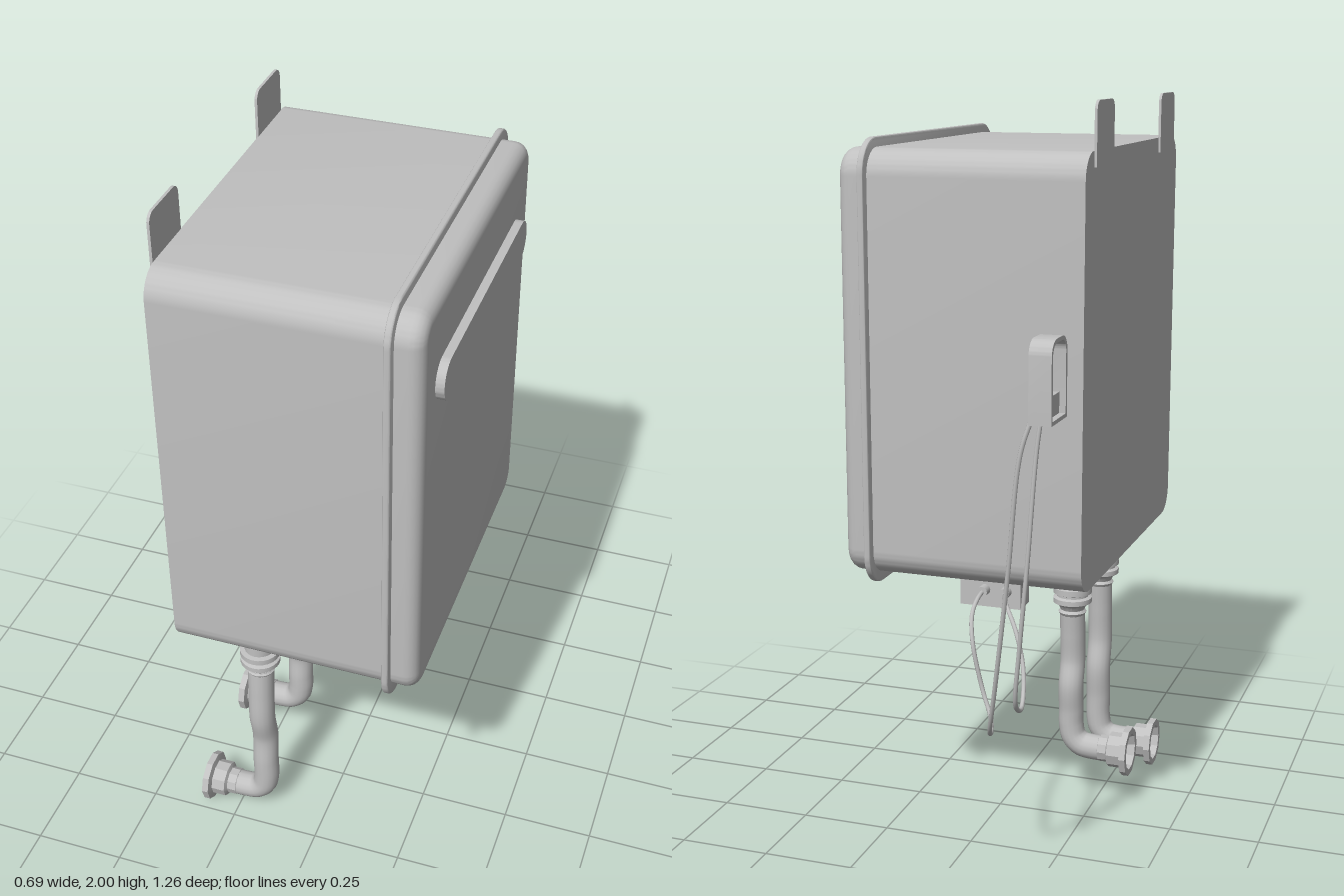
import * as THREE from 'three';
import { toCreasedNormals } from 'three/addons/utils/BufferGeometryUtils.js';

export function createModel() {
  const root = new THREE.Group();
  root.name = 'wallWaterHeater';
  const grey = new THREE.MeshStandardMaterial({ color: 0xc0c0c0, side: THREE.DoubleSide });
  grey.name = 'paintedGrey';

  const add = (name, geometry, parent = root) => {
    const mesh = new THREE.Mesh(geometry, grey);
    mesh.name = name;
    parent.add(mesh);
    return mesh;
  };
  const box = (name, x0, x1, y0, y1, z0, z1, parent) =>
    add(name, new THREE.BoxGeometry(x1 - x0, y1 - y0, z1 - z0), parent)
      .position.set((x0 + x1) / 2, (y0 + y1) / 2, (z0 + z1) / 2);

  // Rectangle in the z/y plane with separate top and bottom corner radii
  const outline = (z0, z1, y0, y1, top, bottom = top, Type = THREE.Shape) => {
    const a = -z1, b = -z0, h = Math.PI / 2;
    const s = new Type();
    s.moveTo(a + bottom, y0);
    s.lineTo(b - bottom, y0);
    if (bottom) s.absarc(b - bottom, y0 + bottom, bottom, -h, 0, false);
    s.lineTo(b, y1 - top);
    if (top) s.absarc(b - top, y1 - top, top, 0, h, false);
    s.lineTo(a + top, y1);
    if (top) s.absarc(a + top, y1 - top, top, h, 2 * h, false);
    s.lineTo(a, y0 + bottom);
    if (bottom) s.absarc(a + bottom, y0 + bottom, bottom, 2 * h, 3 * h, false);
    return s;
  };
  // Extrudes an outline along x, bevelled inwards on both ends if asked
  const extrudeX = (shape, x0, x1, bevel = 0) => {
    const g = new THREE.ExtrudeGeometry(shape, {
      depth: x1 - x0 - 2 * bevel, bevelEnabled: bevel > 0, bevelSize: bevel,
      bevelThickness: bevel, bevelOffset: -bevel, bevelSegments: 5, curveSegments: 8,
    });
    g.translate(0, 0, x0 + bevel);
    g.rotateY(Math.PI / 2);
    return toCreasedNormals(g, 0.7);
  };

  // Cabinet, rounded front cover and the seam rim between them
  add('cabinet', extrudeX(outline(-0.333, 0.605, 0.765, 1.88, 0.07), -0.33, 0.25));
  add('frontCover', extrudeX(outline(-0.333, 0.605, 0.765, 1.88, 0.07), 0.2, 0.323, 0.035));
  add('seamRim', extrudeX(outline(-0.358, 0.63, 0.737, 1.905, 0.09), 0.239, 0.256, 0.004));
  add('ventPlate', extrudeX(outline(-0.232, 0.507, 1.602, 1.71, 0.0535), 0.31, 0.345));

  // Hanging tabs
  for (const z of [-0.179, 0.467]) {
    add('wallTab', extrudeX(outline(z - 0.079, z + 0.079, 1.84, 2, 0.025, 0), -0.336, -0.329));
  }

  // Water pipes
  const lathe = (profile, sides = 24) => toCreasedNormals(
    new THREE.LatheGeometry(profile.map(([r, y]) => new THREE.Vector2(r, y)), sides).toNonIndexed(), 0.6);
  const pipeX = -0.17;
  const pipe = (z, y) => {
    const group = new THREE.Group();
    group.name = 'waterPipe';
    root.add(group);
    // straight stub and union nut
    add('pipeStub', lathe([[0.042, 0.77], [0.042, 0.64], [0.055, 0.638], [0.055, 0.622], [0.045, 0.618],
      [0.045, 0.612], [0.055, 0.608], [0.055, 0.594], [0.04, 0.585], [0.034, 0.572], [0.04, 0.565],
      [0.034, 0.555], [0, 0.555]])).position.set(pipeX, 0, z);
    // flexible hose, bending back to the wall
    const d = 0.57 - y;
    const points = [[0, 0.57, 0], [0, y + d * 0.82, 0.006], [0, y + d * 0.62, 0.009], [0, y + d * 0.45, -0.007],
      [0, y + d * 0.27, -0.001], [0, y + 0.065, 0], [-0.008, y + 0.028, 0], [-0.03, y + 0.006, 0],
      [-0.06, y, 0], [-0.14, y, 0]].map(([dx, py, dz]) => new THREE.Vector3(pipeX + dx, py, z + dz));
    add('flexibleHose', new THREE.TubeGeometry(new THREE.CatmullRomCurve3(points), 50, 0.036, 16), group);
    // wall flange, open at the back
    const flange = add('wallFlange', lathe([[0.03, 0.095], [0.038, 0.09], [0.038, 0.065], [0.05, 0.06],
      [0.05, 0.022], [0.07, 0.018], [0.07, 0], [0.052, 0], [0.044, 0.04], [0, 0.04]], 10), group);
    flange.rotation.z = -Math.PI / 2;
    flange.position.set(-0.348, y, z);
  };
  pipe(0.138, 0.158);
  pipe(0.43, 0.07);

  // Terminal block below the cabinet
  box('terminalBlock', -0.13, 0.04, 0.675, 0.77, -0.213, -0.142);
  box('terminalTongue', 0.04, 0.085, 0.745, 0.77, -0.213, -0.142);
  for (const x of [-0.03, -0.09]) {
    const plug = add('cablePlug', new THREE.CylinderGeometry(0.015, 0.015, 0.03, 12));
    plug.rotation.x = Math.PI / 2;
    plug.position.set(x, 0.722, -0.225);
  }

  // Two hanging cables
  const cable = (points) => add('cable', new THREE.TubeGeometry(
    new THREE.CatmullRomCurve3(points.map((p) => new THREE.Vector3(...p))), 70, 0.006, 8));
  cable([[-0.03, 0.722, -0.23], [-0.03, 0.715, -0.27], [-0.03, 0.685, -0.315], [-0.045, 0.62, -0.352],
    [-0.075, 0.49, -0.356], [-0.105, 0.43, -0.38], [-0.12, 0.413, -0.42], [-0.145, 0.45, -0.505],
    [-0.18, 0.6, -0.562], [-0.225, 0.9, -0.6], [-0.26, 1.2, -0.614], [-0.29, 1.3, -0.605]]);
  cable([[-0.09, 0.722, -0.23], [-0.11, 0.715, -0.28], [-0.155, 0.66, -0.33], [-0.185, 0.58, -0.36],
    [-0.2, 0.52, -0.4], [-0.21, 0.495, -0.45], [-0.215, 0.53, -0.51], [-0.235, 0.7, -0.538],
    [-0.255, 0.9, -0.545], [-0.275, 1.2, -0.532], [-0.29, 1.32, -0.523]]);

  // Remote controller: hollow frame with a front cover and a recessed cable bay
  const frame = outline(-0.632, -0.508, 1.275, 1.475, 0.04, 0);
  frame.holes.push(outline(-0.622, -0.518, 1.285, 1.465, 0.03, 0, THREE.Path));
  add('remoteFrame', extrudeX(frame, -0.341, -0.285));
  add('remoteCover', extrudeX(outline(-0.63, -0.51, 1.328, 1.473, 0.038, 0), -0.295, -0.286));
  box('remoteBackPlate', -0.325, -0.318, 1.28, 1.335, -0.625, -0.515);
  box('remoteBayShelf', -0.325, -0.287, 1.328, 1.336, -0.625, -0.515);
  const plug = add('remotePlug', new THREE.CylinderGeometry(0.015, 0.015, 0.035, 12));
  plug.rotation.z = Math.PI / 2;
  plug.position.set(-0.302, 1.302, -0.605);

  return root;
}
